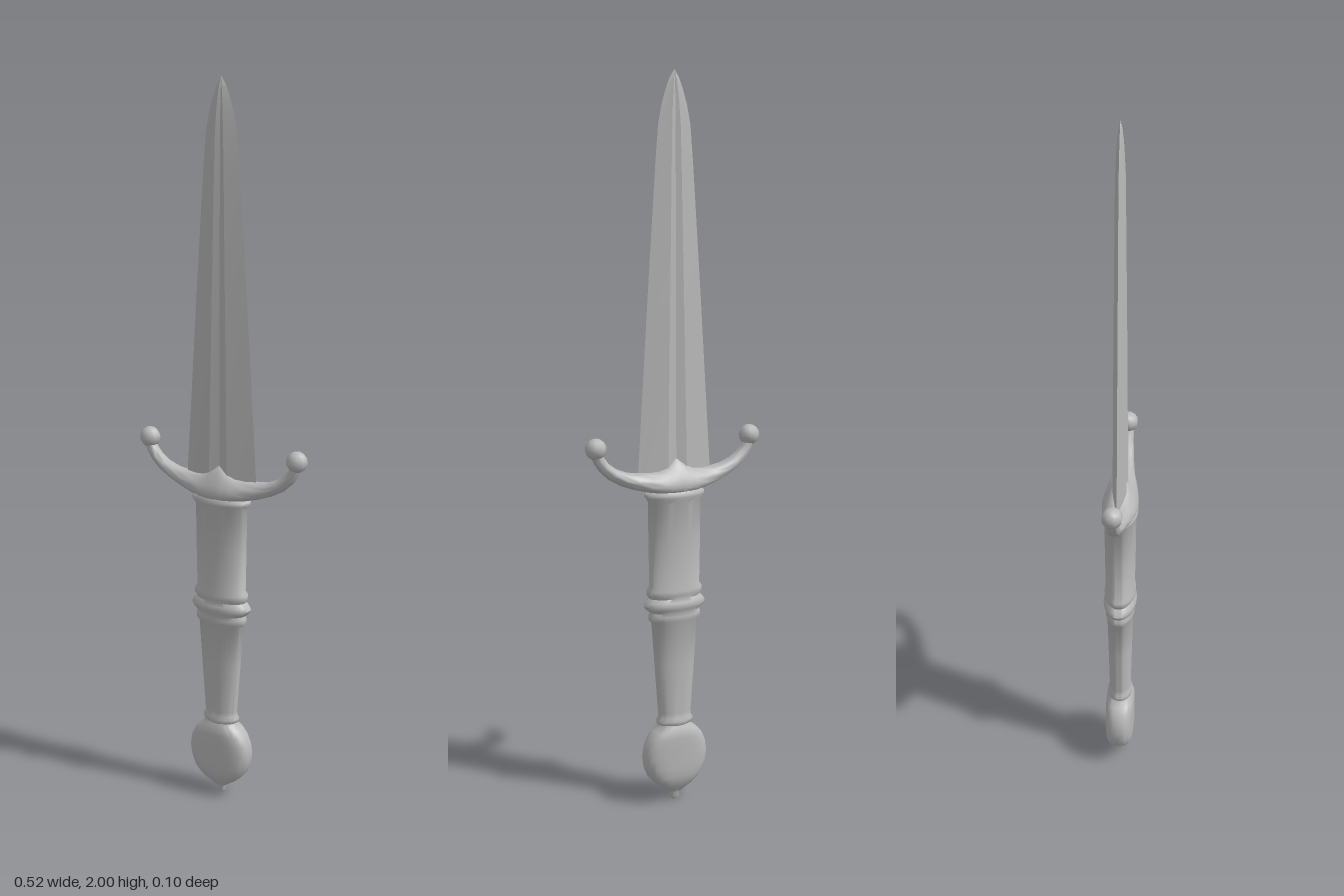
import * as THREE from 'three';
import { toCreasedNormals } from 'three/addons/utils/BufferGeometryUtils.js';

const steel = new THREE.MeshStandardMaterial({ color: 0xb8b8b8 });
steel.name = 'steel grey';

// Skin through closed rings of [x, y, z] points, capped at both ends
function loft(rings, crease) {
  const n = rings[0].length, pos = rings.flat(2), idx = [];
  for (let i = 0; i < rings.length - 1; i++) {
    for (let j = 0; j < n; j++) {
      const a = i * n + j, b = i * n + (j + 1) % n;
      idx.push(a, b, b + n, a, b + n, a + n);
    }
  }
  [0, rings.length - 1].forEach((r, end) => {
    const c = pos.length / 3;
    for (let k = 0; k < 3; k++) pos.push(rings[r].reduce((s, p) => s + p[k], 0) / n);
    for (let j = 0; j < n; j++) {
      const a = r * n + j, b = r * n + (j + 1) % n;
      if (end) idx.push(c, a, b); else idx.push(c, b, a);
    }
  });
  const geo = new THREE.BufferGeometry();
  geo.setAttribute('position', new THREE.Float32BufferAttribute(pos, 3));
  geo.setIndex(idx);
  return toCreasedNormals(geo, crease);
}

// Horizontal oval ring; power below 1 makes it boxier
function oval(y, rx, rz, power = 1, n = 32) {
  const soft = v => Math.sign(v) * Math.abs(v) ** power;
  return Array.from({ length: n }, (_, j) => {
    const a = j / n * Math.PI * 2;
    return [rx * soft(Math.cos(a)), y, -rz * soft(Math.sin(a))];
  });
}

export function createModel() {
  const group = new THREE.Group();
  group.name = 'dagger';
  const add = (name, geo) => {
    const mesh = new THREE.Mesh(geo, steel);
    mesh.name = name;
    group.add(mesh);
    return mesh;
  };

  // Blade: two ridges on each face with a shallow groove between: [y, half width, half thickness]
  const blade = [
    [0.9, 0.113, 0.019], [1.4, 0.081, 0.016], [1.75, 0.057, 0.013], [1.86, 0.048, 0.012],
    [1.91, 0.038, 0.01], [1.95, 0.026, 0.008], [1.98, 0.014, 0.005], [2.0, 0.001, 0.001],
  ].map(([y, w, t]) => [
    [w, y, 0], [0.26 * w, y, -t], [0, y, -0.6 * t], [-0.26 * w, y, -t],
    [-w, y, 0], [-0.26 * w, y, t], [0, y, 0.6 * t], [0.26 * w, y, t],
  ]);
  add('blade', loft(blade, 0.12));

  // Crossguard, one side: [upper x, upper y, lower x, lower y, half depth]
  const side = [
    [0, 0.98, 0, 0.885, 0.056], [0.025, 0.963, 0.025, 0.885, 0.055],
    [0.05, 0.949, 0.05, 0.887, 0.051], [0.08, 0.945, 0.085, 0.892, 0.043],
    [0.115, 0.946, 0.125, 0.902, 0.031], [0.145, 0.951, 0.16, 0.915, 0.025],
    [0.175, 0.963, 0.198, 0.936, 0.021], [0.198, 0.98, 0.224, 0.96, 0.018],
    [0.212, 0.997, 0.24, 0.983, 0.017], [0.222, 1.015, 0.25, 1.01, 0.017],
  ];
  const stations = [
    ...side.slice(1).reverse().map(([ux, uy, lx, ly, d]) => [-ux, uy, -lx, ly, d]),
    ...side,
  ];
  const guard = stations.map(([ux, uy, lx, ly, d]) => {
    // Centre sections narrow toward the blade, arms are round
    const k = Math.max(0, 1 - Math.abs(lx) / 0.16);
    return Array.from({ length: 20 }, (_, j) => {
      const a = j / 20 * Math.PI * 2, s = 0.5 - 0.5 * Math.cos(a), sn = Math.sin(a);
      const w = Math.sign(sn) * Math.abs(sn) ** (1 - 0.6 * k) * (1 - 0.72 * k * s) * (1 + 0.15 * k);
      return [lx + (ux - lx) * s, ly + (uy - ly) * s, -d * w];
    });
  });
  add('crossguard', loft(guard, 0.8));

  // Knobs on the guard tips
  for (const [name, s] of [['leftKnob', 1], ['rightKnob', -1]]) {
    const knob = add(name, new THREE.SphereGeometry(0.029, 8, 8));
    knob.rotation.y = Math.PI / 8;
    knob.position.set(0.235 * s, 1.022, 0);
  }

  // Grip with end collars and three raised rings: [y, half width, half depth]
  const grip = [
    [0.222, 0.042, 0.03], [0.228, 0.053, 0.035], [0.237, 0.055, 0.036], [0.245, 0.049, 0.032],
    [0.26, 0.049, 0.031], [0.4, 0.06, 0.034], [0.522, 0.069, 0.037],
    [0.53, 0.078, 0.041], [0.542, 0.078, 0.041], [0.552, 0.074, 0.039],
    [0.562, 0.087, 0.045], [0.572, 0.092, 0.047], [0.582, 0.087, 0.045],
    [0.592, 0.076, 0.04], [0.602, 0.083, 0.044], [0.614, 0.083, 0.044], [0.624, 0.075, 0.041],
    [0.75, 0.077, 0.043], [0.86, 0.078, 0.044], [0.868, 0.081, 0.046],
    [0.876, 0.089, 0.049], [0.884, 0.089, 0.049], [0.892, 0.079, 0.044],
  ].map(([y, rx, rz]) => oval(y, rx, rz));
  add('grip', loft(grip, 0.9));

  // Flattened round pommel
  const pommel = [
    [0.024, 0.018, 0.014], [0.034, 0.032, 0.021], [0.045, 0.049, 0.028], [0.06, 0.066, 0.036],
    [0.078, 0.081, 0.04], [0.105, 0.092, 0.041], [0.135, 0.096, 0.041], [0.165, 0.091, 0.041],
    [0.19, 0.079, 0.041], [0.208, 0.063, 0.039], [0.219, 0.047, 0.034], [0.23, 0.042, 0.03],
  ].map(([y, rx, rz]) => oval(y, rx, rz, 0.7));
  add('pommel', loft(pommel, 0.7));

  // Small nut under the pommel
  const nut = [[0, 0.009], [0.006, 0.013], [0.018, 0.014], [0.03, 0.02]]
    .map(([y, r]) => oval(y, r, r * 0.9, 1, 12));
  add('pommelNut', loft(nut, 0.7));

  return group;
}
